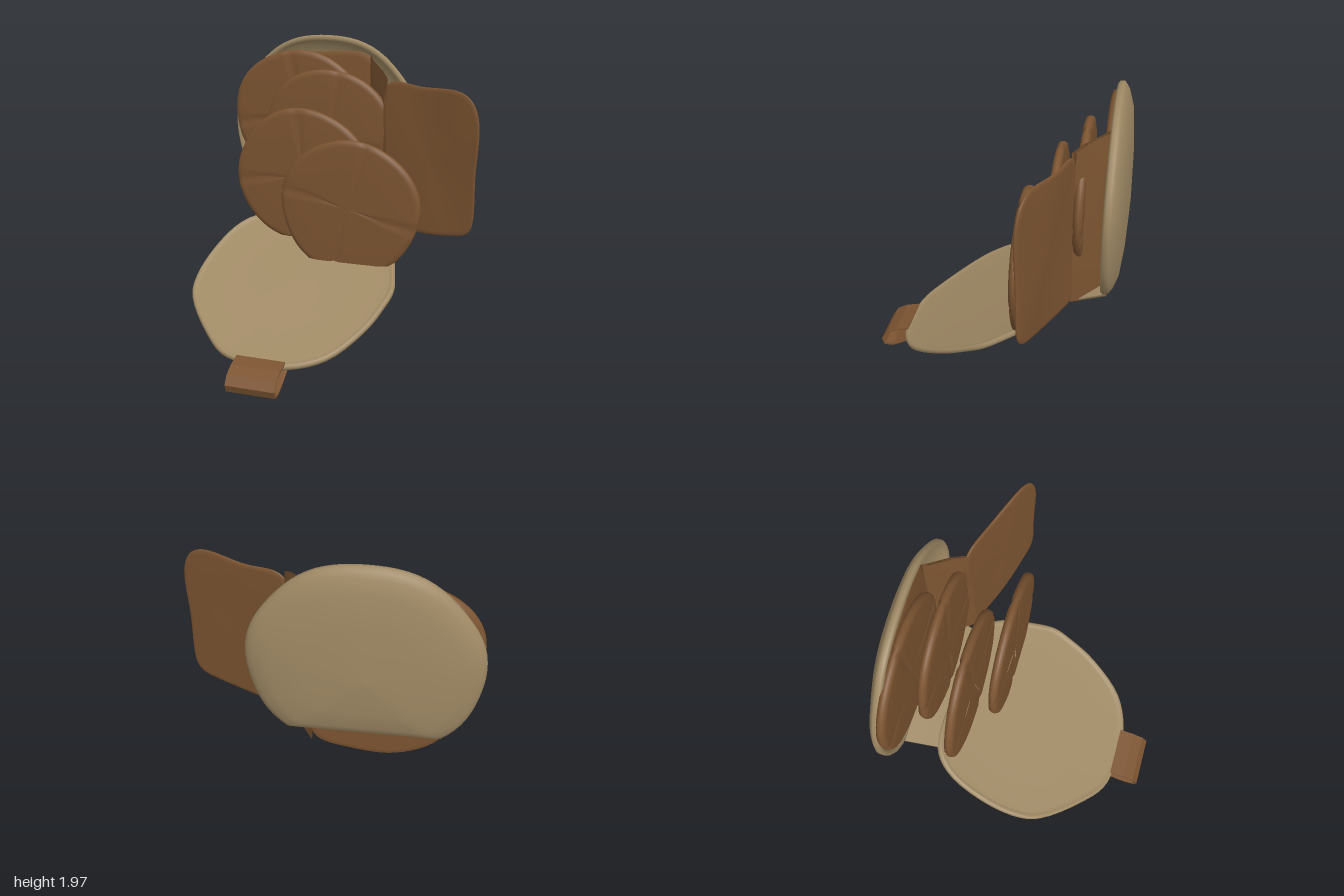
import * as THREE from 'three';

const canvas = new THREE.MeshStandardMaterial({ color: 0xa08a65, side: THREE.DoubleSide });
canvas.name = 'tan canvas';
const leather = new THREE.MeshStandardMaterial({ color: 0x7c5431, side: THREE.DoubleSide });
leather.name = 'brown leather';

// Smooth closed outline through a few [u, v] points
function smooth(pts, n = 72) {
  const curve = new THREE.CatmullRomCurve3(pts.map(([u, v]) => new THREE.Vector3(u, v, 0)), true);
  return curve.getPoints(n).slice(0, n).map((p) => [p.x, p.y]);
}

// Closed solid: a counterclockwise outline scaled through [scale, depth] rings,
// then placed in space by map(u, v, w)
function loft(name, material, outline, center, profile, map, shift = () => 0) {
  const n = outline.length, pos = [], index = [];
  profile.forEach(([s, w]) => outline.forEach(([u, v], i) => {
    const p = map(center[0] + (u - center[0]) * s, center[1] + (v - center[1]) * s, w + shift(i, s, w));
    pos.push(...p);
  }));
  for (let j = 0; j < profile.length - 1; j++) {
    for (let i = 0; i < n; i++) {
      const k = (i + 1) % n, a = j * n + i, b = a + n, c = (j + 1) * n + k, d = j * n + k;
      if (profile[j + 1][0] > 0) index.push(a, b, c);
      if (profile[j][0] > 0) index.push(a, c, d);
    }
  }
  const g = new THREE.BufferGeometry();
  g.setAttribute('position', new THREE.Float32BufferAttribute(pos, 3));
  g.setIndex(index);
  g.computeVertexNormals();
  const mesh = new THREE.Mesh(g, material);
  mesh.name = name;
  return mesh;
}

// Ring profile of a flat sheet with rounded edges
const sheet = (t, r = 0.03) => [[0, t], [0.5, t], [1 - 2 * r, t], [1 - r * 0.4, t * 0.75], [1, t * 0.2],
  [1, -t * 0.2], [1 - r * 0.4, -t * 0.75], [1 - 2 * r, -t], [0.5, -t], [0, -t]];

// Padded round divider with two crossed creases
function divider(name, x, y, z, rx, ry, creaseDeg, phase) {
  const n = 72, outline = [];
  for (let i = 0; i < n; i++) {
    const a = (i / n) * Math.PI * 2 + THREE.MathUtils.degToRad(creaseDeg);
    const r = 1 + 0.012 * Math.sin(3 * a + phase) + 0.008 * Math.sin(5 * a + phase * 2);
    outline.push([x + rx * r * Math.cos(a), y + ry * r * Math.sin(a)]);
  }
  const crease = (i, s, w) => (i % (n / 4) === 0 && s < 0.99 ? -Math.sign(w) * 0.009 : 0);
  return loft(name, leather, outline, [x, y], sheet(0.031, 0.04), (u, v, w) => [u, v, z + w], crease);
}

export function createModel() {
  const model = new THREE.Group();
  model.name = 'openPouch';

  // Shallow back shell, a circle cut flat at the hinge
  const arc = [];
  for (let i = 0; i <= 60; i++) {
    const a = THREE.MathUtils.degToRad(-48 + (276 * i) / 60);
    const r = 0.688 + 0.006 * Math.sin(7 * a);
    arc.push([-0.235 + r * Math.cos(a), 1.305 + r * Math.sin(a)]);
  }
  for (let i = 1; i < 10; i++) arc.push([-0.695 + 0.092 * i, 0.79]);
  model.add(loft('backShell', canvas, arc, [-0.235, 1.25],
    [[0, -0.82], [0.5, -0.812], [0.8, -0.79], [0.92, -0.755], [0.95, -0.725], [0.98, -0.71], [1, -0.725],
      [1, -0.75], [0.975, -0.765], [0.93, -0.785], [0.8, -0.815], [0.5, -0.835], [0, -0.845]],
    (u, v, w) => [u, v, w]));

  // Lid lying open on a downward slope, with a raised rim
  const lid = smooth([[-0.66, 0.51], [-0.8, 0.4], [-0.9, 0.14], [-0.92, -0.1], [-0.88, -0.24], [-0.67, -0.49],
    [-0.5, -0.62], [-0.24, -0.66], [-0.05, -0.65], [0.17, -0.55], [0.35, -0.31], [0.42, -0.13], [0.45, 0],
    [0.42, 0.15], [0.35, 0.35], [0.2, 0.51], [-0.23, 0.52]]);
  model.add(loft('lid', canvas, lid, [-0.235, 0],
    [[0, 0.003], [0.5, 0.003], [0.93, 0.005], [0.96, 0.018], [0.985, 0.02], [1, 0.008],
      [1, -0.01], [0.98, -0.02], [0.93, -0.016], [0.5, -0.016], [0, -0.016]],
    (u, v, w) => [u, 0.455 + 0.487 * v + 0.9 * w, -v + 0.438 * w]));

  // Hinge strip between shell and lid
  model.add(loft('hinge', canvas, [[-0.66, 0.5], [0.2, 0.5], [0.23, 0.74], [-0.7, 0.74]], [-0.23, 0.62],
    [[0, 0.008], [1, 0.008], [1, -0.008], [0, -0.008]],
    (u, v, w) => [u, 0.7 + (v - 0.5) * 0.38 + w, -v]));

  // Four staggered dividers, back to front
  model.add(
    divider('rearDivider', -0.425, 1.41, -0.7, 0.49, 0.475, 97, 0.5),
    divider('secondDivider', -0.165, 1.315, -0.555, 0.475, 0.47, 80, 1.5),
    divider('thirdDivider', -0.29, 1.07, -0.372, 0.485, 0.47, 95, 2.4),
    divider('frontDivider', 0.085, 0.925, -0.205, 0.48, 0.47, 75, 0.2),
  );

  // Backing sheet that hangs below the shell
  const backing = smooth([[0.1, 0.85], [0.1, 1.4], [0.1, 1.8], [0.05, 1.87], [-0.2, 1.88], [-0.5, 1.82],
    [-0.75, 1.6], [-0.82, 1.3], [-0.78, 0.98], [-0.66, 0.75], [-0.42, 0.635], [-0.15, 0.65], [0.04, 0.71]]);
  model.add(loft('backingSheet', leather, backing, [-0.35, 1.25], sheet(0.014), (u, v, w) => [u, v, -0.742 + w]));

  // Gusset joining the backing sheet to the side flap
  const gusset = [[0.08, 0.69], [0.25, 0.73], [0.25, 1.2], [0.25, 1.75], [0.2, 1.79], [0.1, 1.83], [0.08, 1.86], [0.08, 1.2]];
  model.add(loft('gusset', leather, gusset, [0.165, 1.25], [[0, 0.014], [1, 0.014], [1, -0.014], [0, -0.014]],
    (u, v, w) => [u, v, -0.73 + 1.27 * (u - 0.08) + w]));

  // Side flap swung outward
  const flap = smooth([[0.24, 0.76], [0.27, 0.74], [0.5, 0.73], [0.75, 0.76], [0.85, 0.79], [0.89, 0.85],
    [0.9, 1.2], [0.91, 1.55], [0.86, 1.68], [0.77, 1.735], [0.5, 1.73], [0.3, 1.74], [0.24, 1.69], [0.24, 1.2]]);
  model.add(loft('sideFlap', leather, flap, [0.57, 1.24], sheet(0.012),
    (u, v, w) => [u + 0.003, v, -0.515 + 0.36 * (u - 0.25) + w + 0.006 * Math.sin(9 * u + 4 * v)]));

  // Closing strap: an open loop wrapped round the lid edge
  const path = [[0.53, 0.138], [0.61, 0.09], [0.69, 0.045], [0.76, 0.015], [0.82, 0.016], [0.837, 0.065],
    [0.8, 0.12], [0.73, 0.155], [0.635, 0.175]];
  const inner = path.map(([z, y]) => [0.7 + (z - 0.7) * 0.93, 0.093 + (y - 0.093) * 0.82]).reverse();
  const strapShape = new THREE.Shape([...path, ...inner].map(([z, y]) => new THREE.Vector2(-z, y)));
  const strap = new THREE.Mesh(
    new THREE.ExtrudeGeometry(strapShape, { depth: 0.325, bevelEnabled: false }), leather);
  strap.name = 'strapLoop';
  strap.rotation.y = Math.PI / 2;
  strap.position.x = -0.402;
  model.add(strap);

  return model;
}
